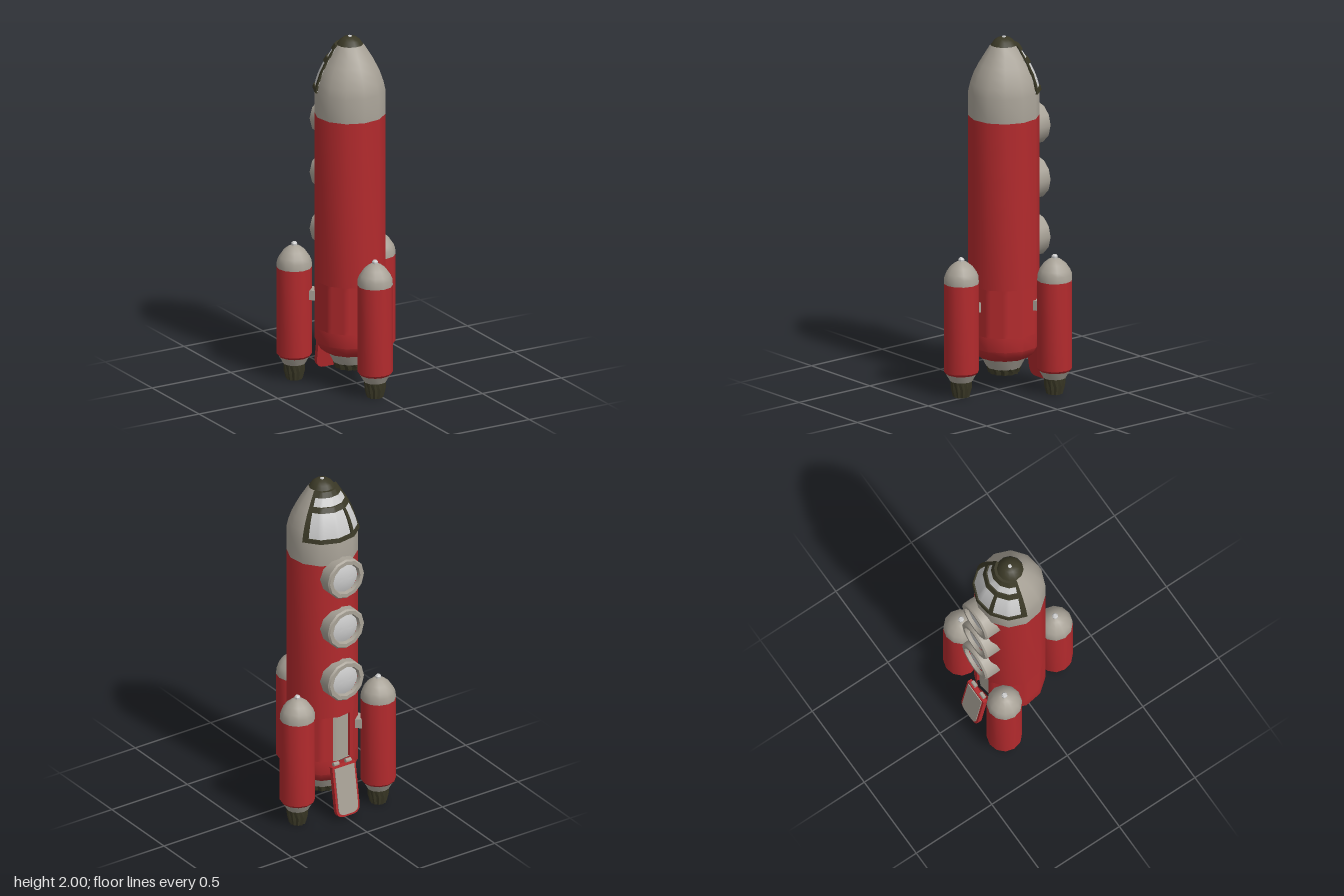
import * as THREE from 'three';
import { toCreasedNormals } from 'three/addons/utils/BufferGeometryUtils.js';

const RED = 0xb32a2d, GREY = 0xa8a297, DARK = 0x3a3826, GLASS = 0xcccccc;
const SIDES = 12, RAD = Math.PI / 180;
const v2 = ([r, y]) => new THREE.Vector2(r, y);

function mesh(name, geometry, color, crease = 0.6) {
  const material = new THREE.MeshStandardMaterial({ color });
  const m = new THREE.Mesh(crease ? toCreasedNormals(geometry, crease) : geometry, material);
  m.name = name;
  return m;
}

// Turned part: profile of [radius, height] pairs, listed from the bottom up
const turned = (name, profile, color, sides = SIDES) =>
  mesh(name, new THREE.LatheGeometry(profile.map(v2), sides), color);

// Rocket nozzle: hollow cone with every second rib pushed inwards
function nozzle(rTop, rBottom, yTop, yBottom) {
  const mid = (yTop + yBottom) / 2;
  const profile = [[0, mid], [rBottom * 0.75, yBottom], [rBottom, yBottom], [rTop * 0.97, mid], [rTop, yTop], [0, yTop]];
  const geo = new THREE.LatheGeometry(profile.map(v2), 24);
  const p = geo.attributes.position;
  for (let i = 0; i < p.count; i++) {
    const column = Math.floor(i / profile.length), row = i % profile.length;
    if (column % 2 && (row === 2 || row === 3)) p.setXYZ(i, p.getX(i) * 0.88, p.getY(i), p.getZ(i) * 0.88);
  }
  return mesh('nozzle', geo, DARK, 0.3);
}

// Nose cone profile
const NOSE = [[0.195, 1.69], [0.184, 1.74], [0.165, 1.795], [0.14, 1.845], [0.112, 1.89], [0.075, 1.95]];
function hullRadius(y) {
  if (y <= NOSE[0][1]) return NOSE[0][0];
  const i = Math.min(NOSE.findIndex(([, h]) => h >= y - 1e-6), NOSE.length - 1);
  if (i < 1) return NOSE[0][0];
  const [r0, y0] = NOSE[i - 1], [r1, y1] = NOSE[i];
  return r0 + (r1 - r0) * (y - y0) / (y1 - y0);
}

// Curved slab following the faceted hull, between two angles (degrees) and two heights
function hullPatch(name, a0, a1, y0, y1, inner, outer, color) {
  const nx = Math.max(1, Math.round((a1 - a0) / 5));
  const ny = Math.max(1, Math.round((y1 - y0) / 0.026));
  const geo = new THREE.BoxGeometry(1, 1, 1, nx, ny, 1);
  const p = geo.attributes.position;
  for (let i = 0; i < p.count; i++) {
    const a = a0 + (p.getX(i) + 0.5) * (a1 - a0);
    const y = y0 + (p.getY(i) + 0.5) * (y1 - y0);
    const facet = Math.cos(15 * RAD) / Math.cos((((a % 30) + 30) % 30 - 15) * RAD);
    const r = hullRadius(y) * facet + (p.getZ(i) > 0 ? outer : inner);
    p.setXYZ(i, r * Math.sin(a * RAD), y, r * Math.cos(a * RAD));
  }
  return mesh(name, geo, color);
}

function booster() {
  const g = new THREE.Group();
  g.name = 'booster';
  g.add(
    nozzle(0.06, 0.046, 0.095, 0),
    turned('boosterSkirt', [[0, 0.09], [0.062, 0.09], [0.086, 0.132]], GREY),
    turned('boosterTube', [[0.086, 0.132], [0.097, 0.145], [0.097, 0.645]], RED),
    turned('boosterDome', [[0.097, 0.645], [0.095, 0.68], [0.085, 0.705], [0.062, 0.738], [0.035, 0.76], [0.015, 0.77], [0, 0.77]], GREY),
    turned('boosterTip', [[0.016, 0.765], [0.017, 0.78], [0.01, 0.788], [0, 0.79]], GLASS, 8),
  );
  return g;
}

function porthole() {
  const g = new THREE.Group();
  g.name = 'porthole';
  g.add(
    turned('portholeRing', [[0.12, 0], [0.12, 0.125], [0.112, 0.135], [0.09, 0.135], [0.083, 0.115]], GREY),
    turned('portholeGlass', [[0.086, 0.11], [0.06, 0.119], [0.03, 0.124], [0, 0.125]], GLASS, 24),
  );
  g.rotation.x = -Math.PI / 2;
  return g;
}

// Door leaf outline, hanging from y = 0
function leaf(w, top, bottom, r) {
  const s = new THREE.Shape();
  s.moveTo(-w, top).lineTo(-w, bottom + r);
  s.quadraticCurveTo(-w, bottom, -w + r, bottom).lineTo(w - r, bottom);
  s.quadraticCurveTo(w, bottom, w, bottom + r).lineTo(w, top);
  return s;
}

function hatchDoor() {
  const g = new THREE.Group();
  g.name = 'hatchDoor';
  const slab = (name, shape, depth, z, color) => {
    const geo = new THREE.ExtrudeGeometry(shape, { depth, bevelEnabled: false, curveSegments: 6 });
    g.add(mesh(name, geo.translate(0, 0, z), color));
  };
  slab('doorLeaf', leaf(0.077, -0.015, -0.315, 0.05), 0.026, -0.026, RED);
  slab('doorLining', leaf(0.064, -0.025, -0.303, 0.04), 0.01, -0.031, GREY);
  for (const x of [-0.04, 0.04]) {
    const hinge = mesh('hinge', new THREE.CylinderGeometry(0.012, 0.012, 0.035, 8), GREY, 0.9);
    hinge.rotation.z = Math.PI / 2;
    hinge.position.set(x, -0.005, -0.008);
    g.add(hinge);
  }
  return g;
}

export function createModel() {
  const model = new THREE.Group();
  model.name = 'rocket';
  const core = new THREE.Group();
  core.name = 'core';
  core.position.set(-0.015, 0, -0.047);
  model.add(core);

  // Hull, with a gap in the wall for the doorway
  const hull = new THREE.Group();
  hull.name = 'hull';
  hull.rotation.y = -6.5 * RAD;
  core.add(hull);
  hull.add(
    nozzle(0.095, 0.085, 0.13, 0.088),
    turned('engineSkirt', [[0, 0.122], [0.095, 0.122], [0.128, 0.185]], GREY),
    turned('lowerHull', [[0.122, 0.183], [0.14, 0.185], [0.175, 0.212], [0.195, 0.25], [0.195, 0.33]], RED),
    hullPatch('doorwayWall', -155, 170, 0.33, 0.6, -0.022, 0, RED),
    hullPatch('doorwayPanel', 165, 210, 0.32, 0.61, -0.03, -0.015, GREY),
    turned('upperHull', [[0.195, 0.6], [0.195, 1.55]], RED),
    turned('noseCone', [[0.195, 1.55], ...NOSE], GREY),
    turned('noseCap', [[0.075, 1.945], [0.07, 1.952], [0.056, 1.972], [0.035, 1.987], [0, 1.994]], DARK),
    turned('noseTip', [[0.012, 1.985], [0.011, 1.996], [0, 2]], GLASS, 8),
  );

  // Windscreen: glass with raised frame bars
  const screen = new THREE.Group();
  screen.name = 'windscreen';
  hull.add(screen);
  screen.add(hullPatch('windscreenGlass', 120, 270, 1.695, 1.94, -0.004, 0.003, GLASS));
  const bars = [
    [120, 270, 1.69, 1.712], [120, 270, 1.85, 1.876], [120, 270, 1.922, 1.95],
    [120, 129, 1.69, 1.95], [261, 270, 1.69, 1.95], [206, 213, 1.7, 1.86],
  ];
  for (const b of bars) screen.add(hullPatch('windscreenFrame', ...b, -0.005, 0.011, DARK));

  // Portholes down the back
  for (const y of [1.47, 1.16, 0.835]) {
    const p = porthole();
    p.position.set(0, y, -0.103);
    core.add(p);
  }

  // Lowered hatch
  const door = hatchDoor();
  door.position.set(0.008, 0.325, -0.193);
  door.rotation.x = 9 * RAD;
  core.add(door);

  // Boosters and the struts that hold them
  for (const [x, z] of [[-0.25, -0.245], [0.247, -0.19], [-0.028, 0.243]]) {
    const b = booster();
    b.position.set(x, 0, z);
    model.add(b);
    const dx = x - core.position.x, dz = z - core.position.z;
    const strut = mesh('strut', new THREE.BoxGeometry(0.075, 0.055, 0.13), GREY);
    strut.position.set(core.position.x + dx * 0.66, 0.495, core.position.z + dz * 0.66);
    strut.rotation.y = Math.atan2(dx, dz);
    model.add(strut);
  }
  return model;
}
